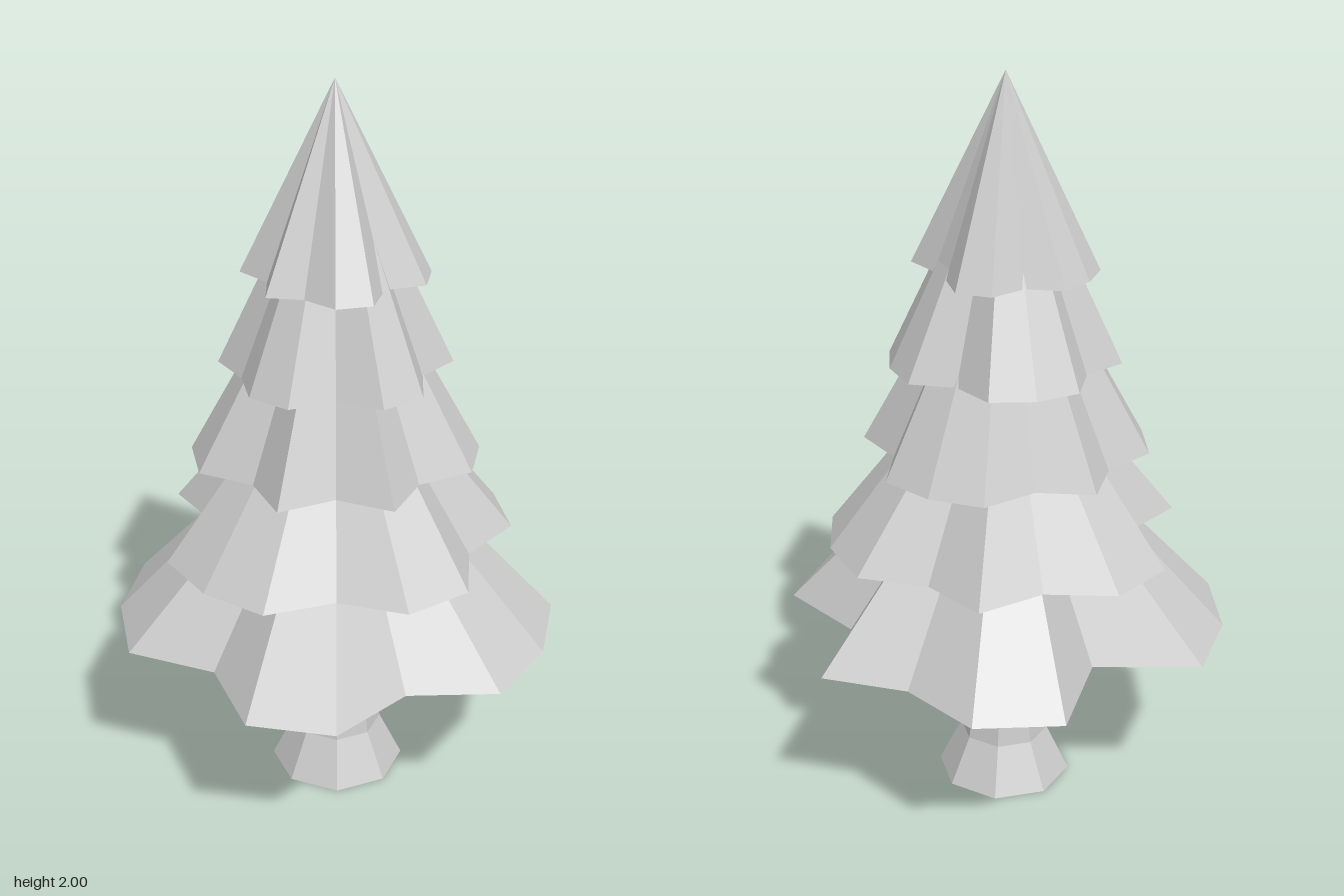
import * as THREE from 'three';

const material = new THREE.MeshStandardMaterial({ color: 0xcccccc, flatShading: true });
const SIDES = 16;
const RIM = 0.03;

// Hollow pointed skirt with an uneven hem: outer cone, flat rim, inner cone.
function skirtGeometry(bottom, top, radii) {
  const positions = [];
  const tri = (...corners) => corners.forEach((p) => positions.push(...p));
  const ring = (inset) => radii.map((r, i) => {
    const a = (i / SIDES) * Math.PI * 2;
    return [Math.cos(a) * (r - inset), bottom, -Math.sin(a) * (r - inset)];
  });
  const outer = ring(0);
  const inner = ring(RIM);
  const apex = [0, top, 0];
  const innerApex = [0, top - 0.05, 0];
  for (let i = 0; i < SIDES; i++) {
    const j = (i + 1) % SIDES;
    tri(apex, outer[i], outer[j]);
    tri(outer[i], inner[i], outer[j]);
    tri(outer[j], inner[i], inner[j]);
    tri(innerApex, inner[j], inner[i]);
  }
  const geometry = new THREE.BufferGeometry();
  geometry.setAttribute('position', new THREE.Float32BufferAttribute(positions, 3));
  geometry.computeVertexNormals();
  return geometry;
}

// Hem radii run counter-clockwise from +x, seen from above.
const tiers = [
  { bottom: 0.5, top: 1.15, radii: [0.595, 0.49, 0.6, 0.6, 0.38, 0.6, 0.6, 0.6, 0.455, 0.6, 0.6, 0.465, 0.597, 0.597, 0.597, 0.43] },
  { bottom: 0.755, top: 1.37, radii: [0.475, 0.385, 0.475, 0.385, 0.477, 0.48, 0.32, 0.48, 0.48, 0.48, 0.385, 0.477, 0.477, 0.38, 0.475, 0.477] },
  { bottom: 1.0, top: 1.7, radii: [0.38, 0.38, 0.38, 0.3, 0.38, 0.31, 0.383, 0.383, 0.3, 0.383, 0.29, 0.38, 0.3, 0.38, 0.38, 0.3] },
  { bottom: 1.25, top: 1.9, radii: [0.305, 0.24, 0.305, 0.307, 0.305, 0.24, 0.305, 0.26, 0.305, 0.307, 0.24, 0.31, 0.308, 0.24, 0.305, 0.305] },
  { bottom: 1.5, top: 2.0, radii: [0.185, 0.243, 0.243, 0.185, 0.243, 0.243, 0.243, 0.185, 0.243, 0.2, 0.245, 0.243, 0.173, 0.245, 0.243, 0.185] },
];

export function createModel() {
  const tree = new THREE.Group();
  tree.name = 'tree';

  // Octagonal trunk flaring at the root, closed underneath
  const profile = [[0, 0], [0.184, 0], [0.122, 0.13], [0.096, 0.31], [0.078, 0.5], [0.05, 1.0], [0, 1.0]];
  const trunk = new THREE.Mesh(
    new THREE.LatheGeometry(profile.map(([r, y]) => new THREE.Vector2(r, y)), 8),
    material,
  );
  trunk.name = 'trunk';
  tree.add(trunk);

  // Stacked foliage
  tiers.forEach(({ bottom, top, radii }, i) => {
    const skirt = new THREE.Mesh(skirtGeometry(bottom, top, radii), material);
    skirt.name = `foliageTier${i + 1}`;
    tree.add(skirt);
  });

  // The trunk axis sits slightly off the centre of the uneven hem
  tree.position.set(-0.023, 0, -0.023);
  const model = new THREE.Group();
  model.name = 'pineTree';
  model.add(tree);
  return model;
}
